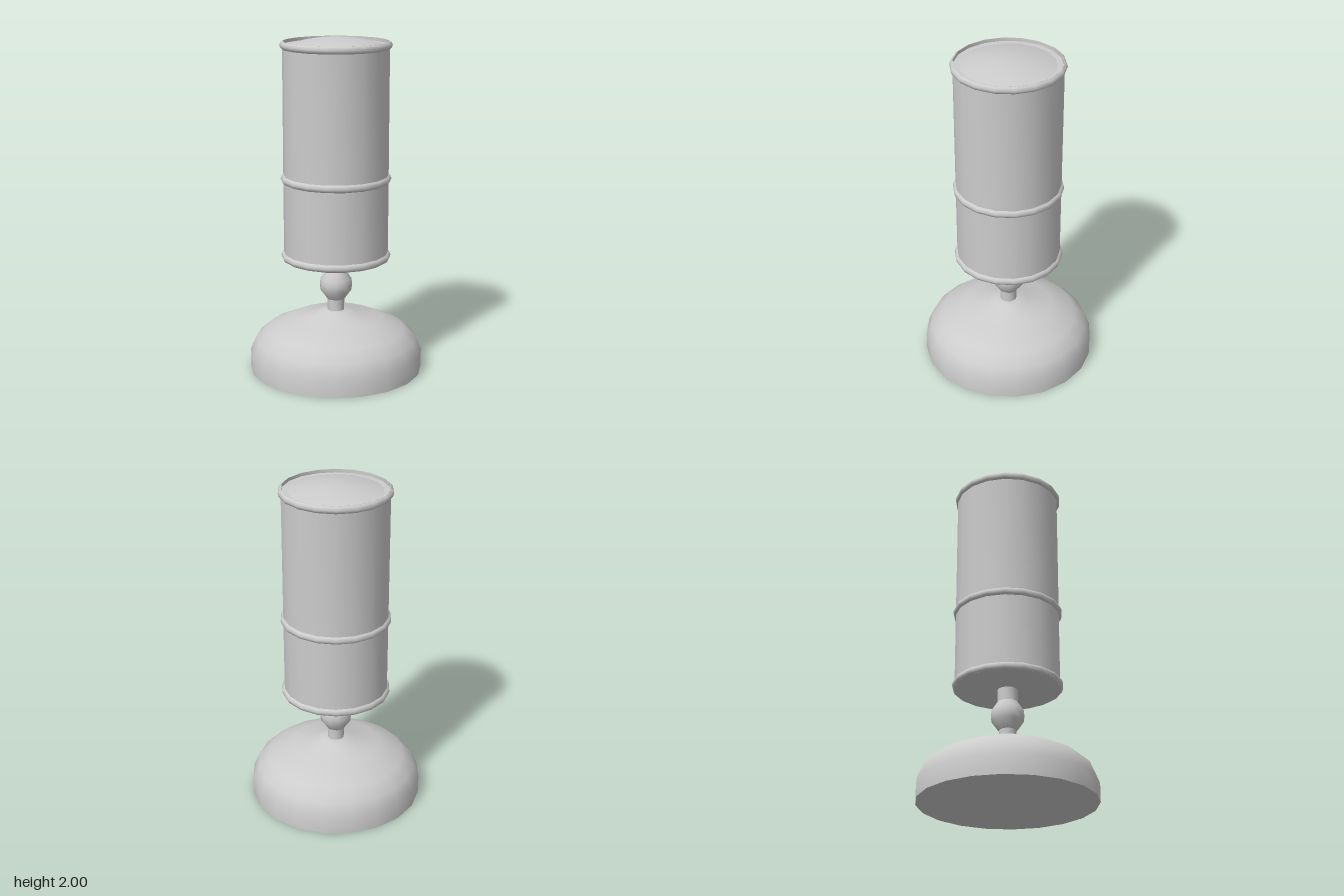
import * as THREE from 'three';
import { toCreasedNormals } from 'three/addons/utils/BufferGeometryUtils.js';

const material = new THREE.MeshStandardMaterial({ color: 0xcccccc });

// Revolves [radius, height] pairs; edges sharper than the crease angle stay hard.
function turned(name, profile, sides, crease = 0.65, start = 0) {
  const points = profile.map(([r, y]) => new THREE.Vector2(r, y));
  const geometry = new THREE.LatheGeometry(points, sides, start);
  const mesh = new THREE.Mesh(toCreasedNormals(geometry, crease), material);
  mesh.name = name;
  return mesh;
}

export function createModel() {
  const model = new THREE.Group();
  model.name = 'pedestalCanister';
  const quarter = Math.PI / 2;

  // Rounded foot with a small flare at the stem
  model.add(turned('base', [
    [0, 0], [0.517, 0], [0.517, 0.11], [0.483, 0.19], [0.415, 0.25],
    [0.27, 0.315], [0.12, 0.342], [0.085, 0.362], [0, 0.365],
  ], 20));

  // Stem: lower pin, ball joint, upper pin
  model.add(turned('lowerStem', [[0.05, 0.35], [0.05, 0.45]], 12));
  model.add(turned('ballJoint', [
    [0, 0.433], [0.055, 0.433], [0.093, 0.485], [0.097, 0.52], [0.093, 0.557], [0.06, 0.605], [0, 0.605],
  ], 12, 0.8));
  model.add(turned('upperStem', [[0.06, 0.59], [0.06, 0.69]], 12));

  // Canister with a raised lip around a recessed top
  model.add(turned('canister', [
    [0, 0.682], [0.31, 0.682], [0.31, 1.975], [0.307, 1.975], [0.307, 1.955], [0, 1.955],
  ], 18, 0.65, quarter));

  // Three rounded bands around the canister
  for (const [name, y] of [['bottomBand', 0.704], ['middleBand', 1.172], ['topBand', 1.9525]]) {
    const band = turned(name, [
      [0.309, -0.0225], [0.32, -0.016], [0.326, 0], [0.32, 0.016], [0.309, 0.0225],
    ], 18, 1, quarter);
    band.position.y = y;
    model.add(band);
  }

  // Shallow domed lid inside the lip
  model.add(turned('lid', [
    [0.272, 1.955], [0.2, 1.975], [0.1, 1.992], [0, 2],
  ], 18, 0.65, quarter));

  return model;
}
